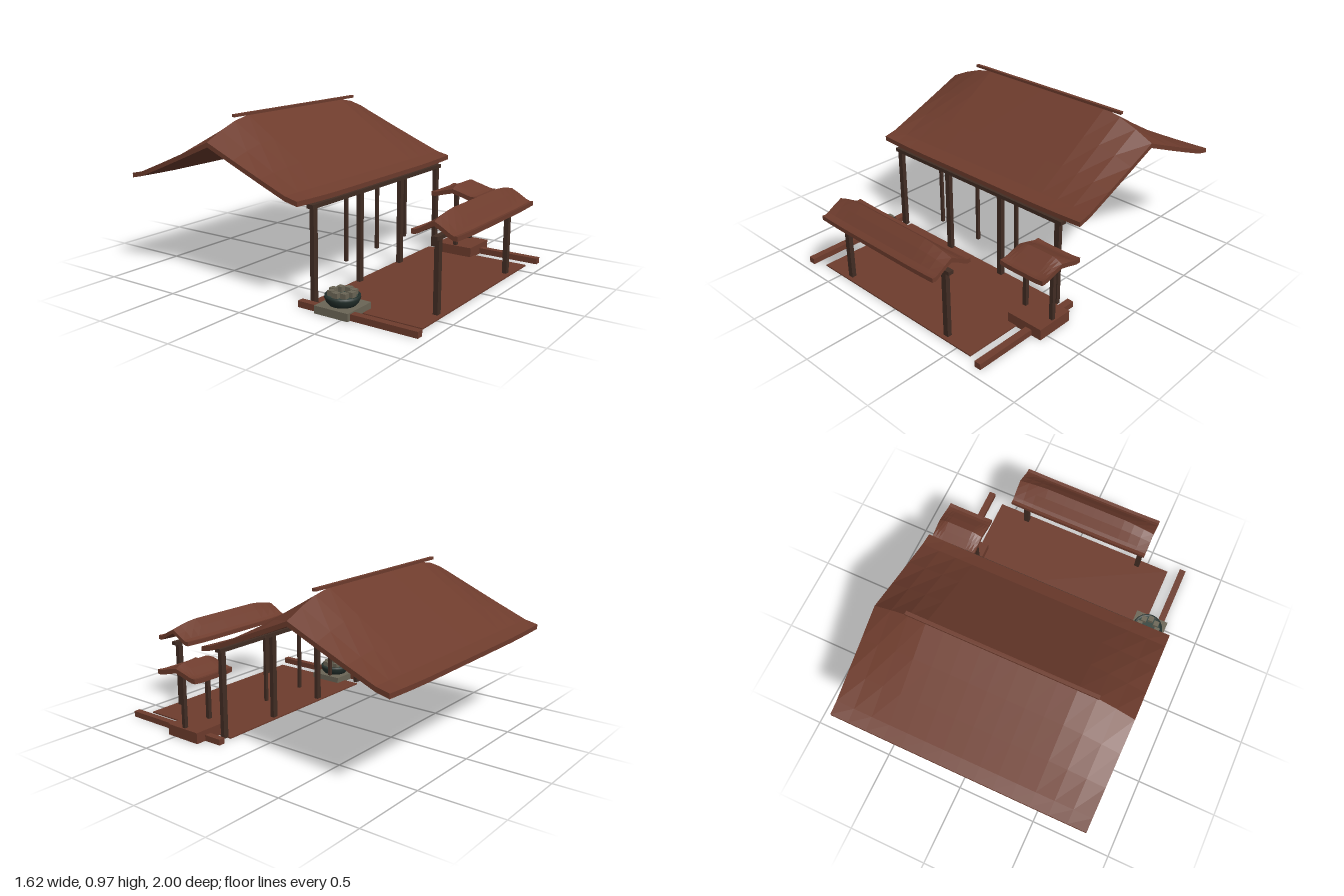
import * as THREE from 'three';

const mat = (name, color) => {
  const m = new THREE.MeshStandardMaterial({ color });
  m.name = name;
  return m;
};

export function createModel() {
  const group = new THREE.Group();
  const redWood = mat('red wood', 0x6e3c2d);
  const darkWood = mat('dark wood', 0x422d24);
  const stone = mat('stone', 0x6b6656);
  const bronze = mat('dark bronze', 0x26332f);
  const patina = mat('patina', 0x34443e);

  const add = (name, geo, material, x = 0, y = 0, z = 0) => {
    const mesh = new THREE.Mesh(geo, material);
    mesh.name = name;
    mesh.position.set(x, y, z);
    group.add(mesh);
    return mesh;
  };
  // box given by its extents
  const box = (name, material, x0, x1, y0, y1, z0, z1) =>
    add(name, new THREE.BoxGeometry(x1 - x0, y1 - y0, z1 - z0), material,
      (x0 + x1) / 2, (y0 + y1) / 2, (z0 + z1) / 2);
  const post = (name, x, z, y0, y1, w, d = w) =>
    box(name, darkWood, x - w / 2, x + w / 2, y0, y1, z - d / 2, z + d / 2);

  // Gabled roof slab: ridge sags at both ends, eaves lift a little.
  // profile holds [distance from ridge 0..1, height 0..1]
  const roof = (name, o) => {
    const n = o.profile.length - 1;
    const geo = new THREE.BoxGeometry(2, 1, 2, 14, 1, 2 * n);
    const p = geo.attributes.position;
    for (let i = 0; i < p.count; i++) {
      const u = p.getX(i), t = p.getZ(i);
      const [v, s] = o.profile[Math.round(Math.abs(t) * n)];
      const end = Math.pow(Math.max(0, Math.abs(u) - 0.57) / 0.43, 1.5);
      const ridge = o.ridge - o.sag * end;
      const eave = o.eave + o.lift * end;
      const top = eave + (ridge - eave) * s;
      p.setXYZ(i, u * o.halfX, top - (p.getY(i) < 0 ? o.thick : 0), Math.sign(t) * v * o.halfZ);
    }
    const flat = geo.toNonIndexed();
    flat.computeVertexNormals();
    return add(name, flat, redWood, o.x, 0, o.z);
  };

  // Main hall roof and ridge bar
  roof('mainRoof', {
    x: -0.02, z: -0.375, halfX: 0.795, halfZ: 0.625,
    ridge: 0.958, sag: 0.115, eave: 0.588, lift: 0.01, thick: 0.028,
    profile: [[0, 1], [0.3, 0.675], [0.6, 0.355], [0.87, 0.075], [1, 0]],
  });
  box('ridgeBar', redWood, -0.6, 0.56, 0.957, 0.973, -0.386, -0.364);

  // Gate roof and side shelter roof
  const flared = [[0, 1], [0.35, 0.6], [0.7, 0.13], [0.85, 0], [1, 0.03]];
  roof('gateRoof', {
    x: -0.02, z: 0.865, halfX: 0.46, halfZ: 0.135,
    ridge: 0.551, sag: 0.033, eave: 0.45, lift: 0.007, thick: 0.026,
    profile: flared,
  });
  roof('shelterRoof', {
    x: 0.662, z: 0.432, halfX: 0.148, halfZ: 0.153,
    ridge: 0.462, sag: 0.022, eave: 0.4, lift: 0.007, thick: 0.028,
    profile: flared,
  });

  // Main hall columns, hanging slats and beam
  for (const x of [-0.67, -0.238, 0.194, 0.626]) post('hallColumn', x, 0.245, 0.01, 0.54, 0.034, 0.027);
  for (const x of [-0.334, -0.021, 0.292]) post('hallSlat', x, 0.217, 0.15, 0.55, 0.018);
  box('hallBeam', darkWood, -0.7, 0.66, 0.535, 0.558, 0.222, 0.264);

  // Gate columns and beam
  for (const x of [-0.435, 0.391]) post('gateColumn', x, 0.867, 0, 0.42, 0.034, 0.028);
  box('gateBeam', darkWood, -0.475, 0.435, 0.415, 0.436, 0.85, 0.884);

  // Side shelter
  box('shelterBase', redWood, 0.542, 0.78, 0, 0.067, 0.315, 0.555);
  for (const x of [0.565, 0.757]) post('shelterColumn', x, 0.435, 0.067, 0.42, 0.024);

  // Floor and side rails
  box('floor', redWood, -0.645, 0.602, 0, 0.008, 0.22, 0.905);
  for (const x of [-0.736, 0.694]) box('sideRail', redWood, x - 0.021, x + 0.021, 0, 0.036, 0.2, 0.945);

  // Stone plinth with a bronze basin and a ring of small blocks
  const bx = -0.672, bz = 0.435;
  box('basinPlinth', stone, bx - 0.108, bx + 0.108, 0, 0.044, bz - 0.108, bz + 0.108);
  const pts = [[0, 0.044], [0.074, 0.044], [0.088, 0.06], [0.098, 0.085], [0.096, 0.098], [0.084, 0.098], [0.08, 0.092]]
    .map(([r, y]) => new THREE.Vector2(r, y));
  add('basin', new THREE.LatheGeometry(pts, 24), bronze, bx, 0, bz);
  add('basinTop', new THREE.CylinderGeometry(0.082, 0.08, 0.006, 24), patina, bx, 0.091, bz);
  for (let i = 0; i < 8; i++) {
    const a = (i * Math.PI) / 4;
    add('basinBlock', new THREE.BoxGeometry(0.034, 0.03, 0.034), stone,
      bx + Math.cos(a) * 0.059, 0.108, bz + Math.sin(a) * 0.059);
  }
  return group;
}
